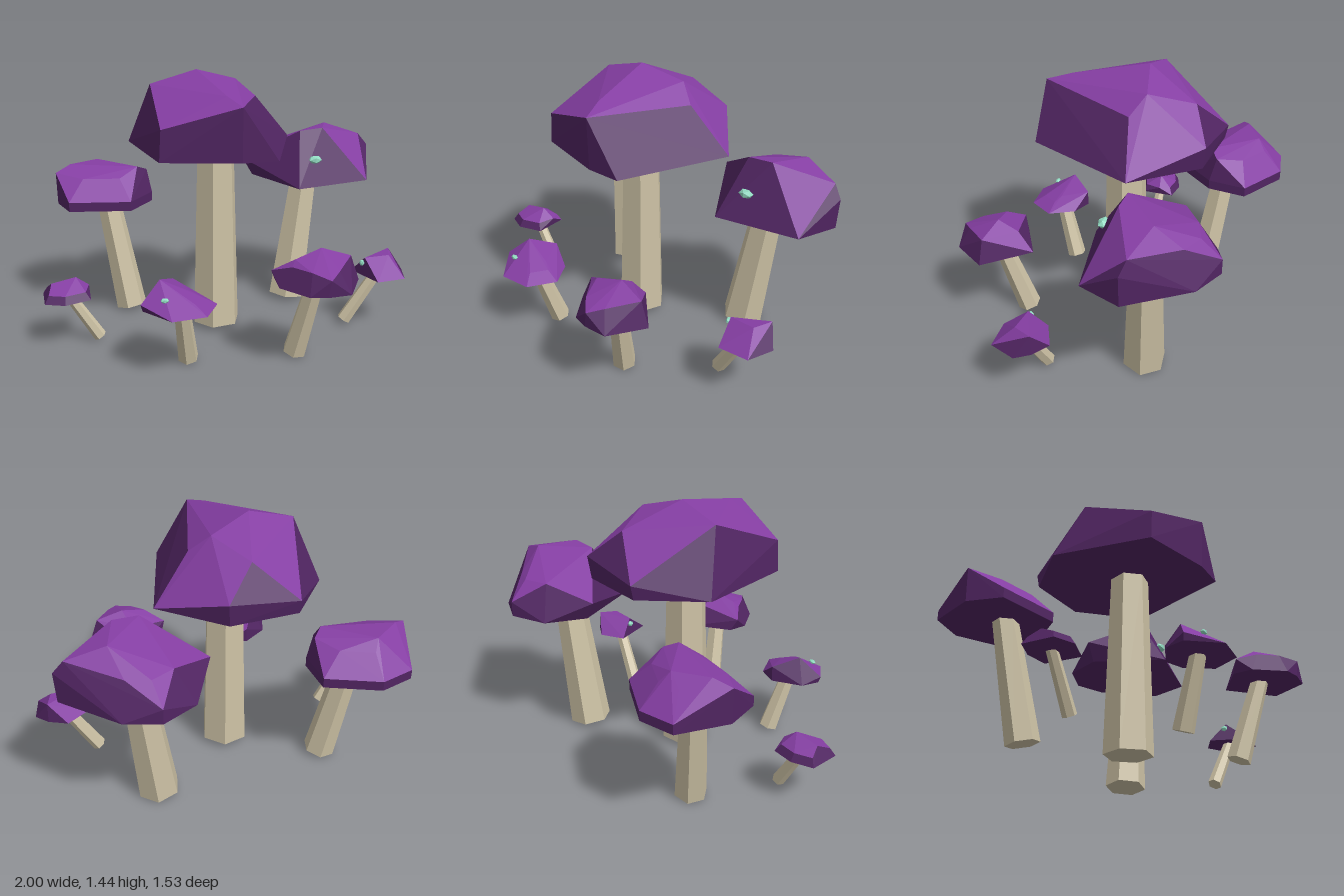
import * as THREE from 'three';
import { ConvexGeometry } from 'three/addons/geometries/ConvexGeometry.js';

function flat(name, color) {
  const material = new THREE.MeshStandardMaterial({ color });
  material.name = name;
  return material;
}
const capPurple = flat('capPurple', 0x853ea3);
const capDarkPurple = flat('capDarkPurple', 0x512562);
const stemBeige = flat('stemBeige', 0xcdc2a5);
const gemTeal = flat('gemTeal', 0x92dcc2);

const vec = (p) => new THREE.Vector3(...p);

// Tapered six-sided stem running between two points
function makeStem(from, to, rBottom, rTop) {
  const axis = vec(to).sub(vec(from));
  const geo = new THREE.CylinderGeometry(rTop, rBottom, axis.length(), 6, 1, false, Math.PI * 2 / 9).toNonIndexed();
  geo.computeVertexNormals();
  const mesh = new THREE.Mesh(geo, stemBeige);
  mesh.name = 'stem';
  mesh.position.copy(vec(from)).addScaledVector(axis, 0.5);
  mesh.quaternion.setFromUnitVectors(new THREE.Vector3(0, 1, 0), axis.normalize());
  return mesh;
}

// Faceted cap: the flat [x, z] outline at rimY is repeated as shrunken rings
// of [scale, y], then everything is wrapped together with the crest corners.
// Steep facets and the underside take the darker purple.
function makeCap(rimY, outline, rings, crests) {
  const centre = [0, 1].map((k) => outline.reduce((sum, p) => sum + p[k], 0) / outline.length);
  const points = crests.map(vec);
  for (const [scale, y] of [[1, rimY], ...rings]) {
    for (const [x, z] of outline) {
      points.push(vec([
        centre[0] + (x - centre[0]) * scale,
        y,
        centre[1] + (z - centre[1]) * scale,
      ]));
    }
  }
  const geo = new ConvexGeometry(points);
  const normal = geo.attributes.normal;
  for (let i = 0; i < normal.count; i += 3) geo.addGroup(i, 3, normal.getY(i) > 0.6 ? 0 : 1);
  const mesh = new THREE.Mesh(geo, [capPurple, capDarkPurple]);
  mesh.name = 'cap';
  return mesh;
}

// Tiny crystal set into a cap
function makeCrystal(position, halfSize) {
  const geo = new THREE.IcosahedronGeometry(1, 0).scale(...halfSize);
  geo.computeVertexNormals();
  const mesh = new THREE.Mesh(geo, gemTeal);
  mesh.name = 'crystal';
  mesh.position.set(...position);
  return mesh;
}

export function createModel() {
  const model = new THREE.Group();
  model.name = 'mushroomCluster';
  const addMushroom = (name, ...parts) => {
    const group = new THREE.Group();
    group.name = name;
    group.add(...parts);
    model.add(group);
  };

  // Three large mushrooms
  addMushroom('centralMushroom',
    makeStem([-0.045, 0.025, -0.037], [-0.045, 1.045, -0.035], 0.134, 0.105),
    makeCap(1.035,
      [[-0.49, -0.25], [-0.4, 0.29], [0, 0.39], [0.19, 0.385], [0.41, -0.21], [0.13, -0.51], [-0.235, -0.52]],
      [[0.55, 1.28]],
      [[0, 1.315, 0.4], [-0.05, 1.35, 0.27], [-0.39, 1.2, 0.29], [-0.38, 1.365, -0.13], [-0.13, 1.435, -0.13],
        [0.1, 1.37, -0.2], [-0.02, 1.305, -0.42], [0.14, 1.155, -0.525], [-0.235, 1.11, -0.535]]));

  addMushroom('backLeftMushroom',
    makeStem([0.465, 0.015, -0.345], [0.57, 0.76, -0.38], 0.115, 0.084),
    makeCap(0.75,
      [[0.445, -0.07], [0.89, -0.175], [0.96, -0.4], [0.73, -0.68], [0.555, -0.75], [0.36, -0.67], [0.27, -0.46]],
      [[0.65, 0.93]],
      [[0.21, 0.855, -0.46], [0.97, 0.915, -0.4], [0.92, 0.98, -0.42], [0.555, 0.83, -0.75],
        [0.5, 1.045, -0.26], [0.64, 1.055, -0.27], [0.72, 1.045, -0.47]]),
    makeCrystal([0.565, 0.893, -0.163], [0.042, 0.025, 0.03]));

  addMushroom('backRightMushroom',
    makeStem([-0.49, 0.015, -0.375], [-0.597, 0.65, -0.45], 0.088, 0.067),
    makeCap(0.638,
      [[-0.885, -0.47], [-0.83, -0.285], [-0.49, -0.23], [-0.345, -0.42], [-0.335, -0.63], [-0.6, -0.77], [-0.79, -0.73]],
      [[1, 0.69], [0.6, 0.8]],
      [[-0.89, 0.82, -0.47], [-0.805, 0.855, -0.52], [-0.64, 0.855, -0.62], [-0.43, 0.85, -0.4], [-0.37, 0.82, -0.45]]));

  // Two medium mushrooms at the front
  addMushroom('frontRightMushroom',
    makeStem([-0.285, 0.015, 0.39], [-0.335, 0.365, 0.5], 0.054, 0.041),
    makeCap(0.354,
      [[-0.53, 0.52], [-0.41, 0.675], [-0.235, 0.655], [-0.155, 0.51], [-0.24, 0.375], [-0.35, 0.335], [-0.5, 0.42]],
      [[0.6, 0.395]],
      [[-0.54, 0.39, 0.525], [-0.435, 0.49, 0.46], [-0.275, 0.417, 0.48], [-0.35, 0.44, 0.335]]),
    makeCrystal([-0.428, 0.424, 0.575], [0.022, 0.014, 0.015]));

  addMushroom('frontLeftMushroom',
    makeStem([0.275, 0.015, 0.435], [0.345, 0.455, 0.55], 0.064, 0.047),
    makeCap(0.443,
      [[0.14, 0.59], [0.25, 0.74], [0.335, 0.76], [0.46, 0.75], [0.567, 0.56], [0.35, 0.35], [0.15, 0.48]],
      [[0.65, 0.55]],
      [[0.12, 0.51, 0.51], [0.225, 0.58, 0.57], [0.37, 0.62, 0.54], [0.52, 0.575, 0.56], [0.35, 0.53, 0.765]]));

  // Two small leaning mushrooms at the sides
  addMushroom('smallRightMushroom',
    makeStem([-0.71, 0.02, 0.04], [-0.87, 0.28, 0.04], 0.035, 0.028),
    makeCap(0.27,
      [[-1, -0.03], [-0.89, -0.075], [-0.77, -0.065], [-0.755, 0.125], [-0.89, 0.175], [-0.995, 0.135]],
      [[0.8, 0.31]],
      [[-0.825, 0.37, 0.03], [-0.955, 0.347, 0.04], [-0.757, 0.315, 0.015]]));

  addMushroom('smallLeftMushroom',
    makeStem([0.665, 0.02, 0.125], [0.845, 0.31, 0.155], 0.039, 0.033),
    makeCap(0.3,
      [[0.85, 0.01], [0.945, 0.065], [1, 0.135], [0.955, 0.28], [0.79, 0.3], [0.75, 0.18], [0.715, 0.085]],
      [],
      [[0.76, 0.4, 0.17], [0.94, 0.41, 0.07], [0.9, 0.405, 0.17]]),
    makeCrystal([0.745, 0.37, 0.165], [0.014, 0.018, 0.02]));

  return model;
}
